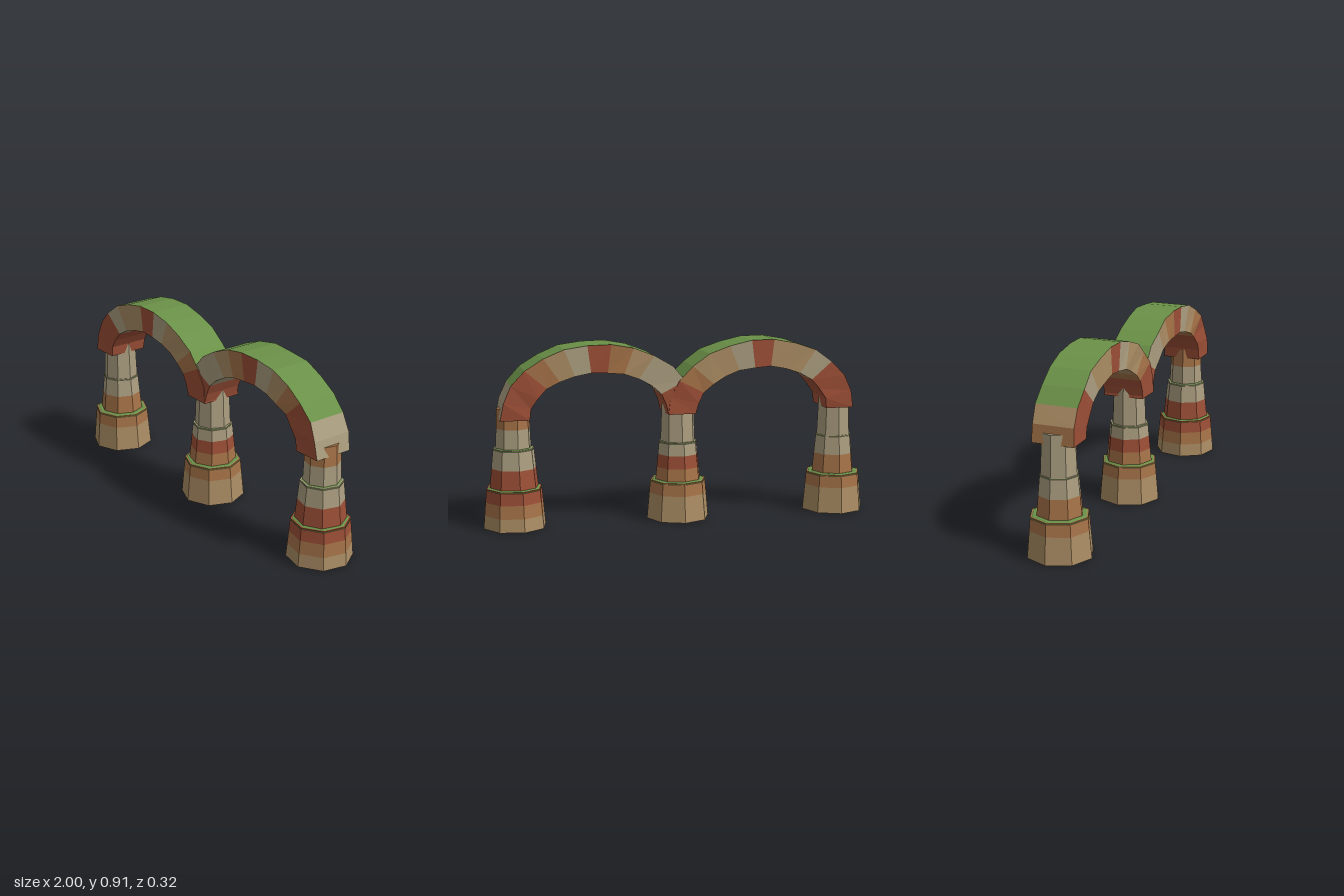
import * as THREE from 'three';

const material = (color) => new THREE.MeshStandardMaterial({ color, flatShading: true });
const M = {
  R: material(0x9c4f36), // red stone
  O: material(0xa67348), // orange stone
  T: material(0xab8d64), // tan stone
  S: material(0xab9e80), // sand stone
  G: material(0x6b9148), // moss
};

// Small repeatable wobble in -1..1
const wobble = (n) => Math.sin(n * 12.9898 + 4.1) * Math.cos(n * 3.7);

// Eight-sided frustum between two heights
function frustum(name, r0, r1, y0, y1, mat) {
  const mesh = new THREE.Mesh(new THREE.CylinderGeometry(r1, r0, y1 - y0, 8), mat);
  mesh.position.y = (y0 + y1) / 2;
  mesh.name = name;
  return mesh;
}

// Pillar of three tapering tiers, each made of coloured stone courses
function pillar(name, x, turn, k, courses) {
  const group = new THREE.Group();
  group.name = name;
  const tiers = [[0.162, 0.144], [0.12 * k, 0.1 * k], [0.091, 0.083]];
  tiers.forEach(([r0, r1], i) => {
    const colours = courses[i];
    const n = colours.length;
    const tier = new THREE.Group();
    tier.name = ['baseTier', 'middleTier', 'topTier'][i];
    for (let j = 0; j < n; j++) {
      const a = j / n, b = (j + 1) / n;
      tier.add(frustum('stoneCourse',
        THREE.MathUtils.lerp(r0, r1, a), THREE.MathUtils.lerp(r0, r1, b),
        0.2 * (i + a), 0.2 * (i + b), M[colours[j]]));
    }
    // Sloping moss ledge where the next tier steps in
    if (i < 2) {
      const y = 0.2 * (i + 1);
      tier.add(frustum('mossLedge', r1 + 0.003, r1 - 0.014, y - 0.006, y + 0.004, M.G));
    }
    tier.rotation.y = turn + 0.05 * wobble(i + x * 3);
    group.add(tier);
  });
  group.position.x = x;
  return group;
}

// Half-elliptical arch of wedge stones with moss along the top
function arch(name, cx, halfDepth, seed, stones, outerLeft, outerRight) {
  const group = new THREE.Group();
  group.name = name;
  const n = stones.length;
  const outer = { rx: 0.492, ry: 0.366 }, inner = { rx: 0.348, ry: 0.226 };
  for (let i = 0; i < n; i++) {
    const geo = new THREE.BoxGeometry(1, 1, 1);
    const p = geo.attributes.position;
    for (let v = 0; v < p.count; v++) {
      const station = i + (p.getX(v) > 0 ? 1 : 0);
      const side = Math.sign(p.getZ(v));
      const top = p.getY(v) > 0;
      const e = top ? outer : inner;
      const t = (Math.PI * station) / n;
      const rough = 0.005 * wobble(station * 2.3 + side * 1.7 + seed + (top ? 0 : 9));
      p.setXYZ(v,
        cx - (e.rx + rough) * Math.cos(t),
        0.55 + (e.ry + rough) * Math.sin(t),
        side * (halfDepth + 0.004 * wobble(station + side + seed + (top ? 5 : 0))));
    }
    geo.computeVertexNormals();
    const stone = M[stones[i]];
    // Bare stones at the feet, moss elsewhere on the outer face
    const fromRight = n - 1 - i;
    const bare = i < outerLeft.length ? outerLeft[i]
      : fromRight < outerRight.length ? outerRight[fromRight] : 'G';
    const mesh = new THREE.Mesh(geo, [stone, stone, M[bare], stone, stone, stone]);
    mesh.name = 'archStone';
    group.add(mesh);
  }
  return group;
}

export function createModel() {
  const model = new THREE.Group();
  model.name = 'doubleArch';
  model.add(
    pillar('rightPillar', -0.84, 0, 0.95, ['TTO', 'OS', 'SS']),
    pillar('middlePillar', 0, 0.05, 1, ['TTO', 'ORS', 'SS']),
    pillar('leftPillar', 0.84, 0.14, 1.04, ['TOR', 'RS', 'SO']),
    arch('rightArch', -0.42, 0.105, 1, 'RRRSTTRSTTORR', 'OT', 'RR'),
    arch('leftArch', 0.42, 0.102, 6, 'RRSSTORSTORRR', 'RR', 'SS'),
  );
  return model;
}
